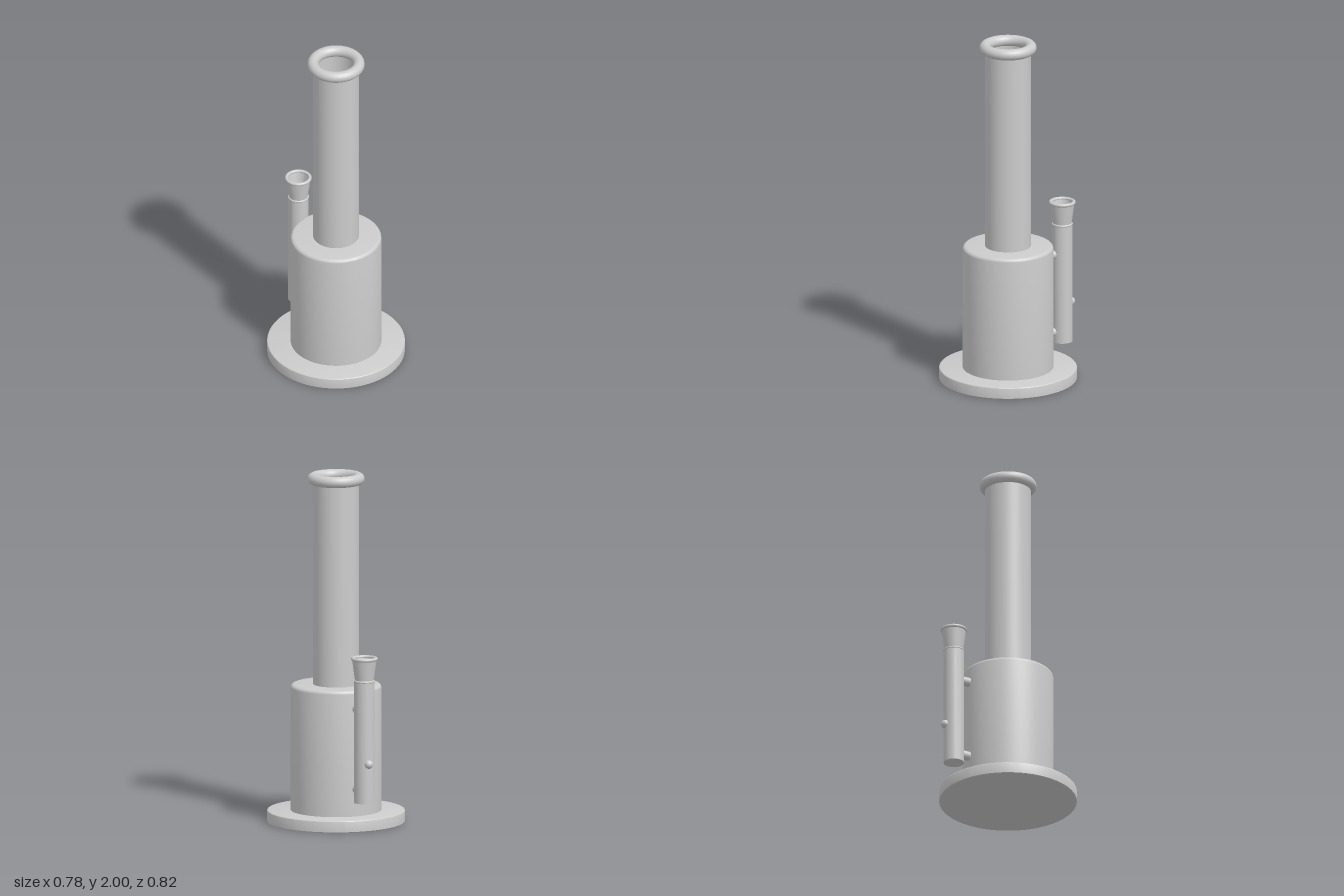
import * as THREE from 'three';
import { toCreasedNormals } from 'three/addons/utils/BufferGeometryUtils.js';

const material = new THREE.MeshStandardMaterial({ color: 0xcccccc });

// Closed profile [radius, height] spun around y, with sharp edges kept
function lathe(name, profile, z, segments = 64) {
  const points = profile.map(([r, y]) => new THREE.Vector2(r, y));
  const geometry = toCreasedNormals(new THREE.LatheGeometry(points, segments), 0.6);
  const mesh = new THREE.Mesh(geometry, material);
  mesh.name = name;
  mesh.position.z = z;
  return mesh;
}

function ring(name, radius, tube, y, z) {
  const mesh = new THREE.Mesh(new THREE.TorusGeometry(radius, tube, 20, 64), material);
  mesh.name = name;
  mesh.rotation.x = Math.PI / 2;
  mesh.position.set(0, y, z);
  return mesh;
}

// Quarter-round outer top edge of a profile
function roundEdge(radius, y, bevel, steps = 5) {
  return Array.from({ length: steps + 1 }, (_, i) => {
    const a = (i / steps) * Math.PI / 2;
    return [radius - bevel + Math.cos(a) * bevel, y - bevel + Math.sin(a) * bevel];
  });
}

export function createModel() {
  const group = new THREE.Group();
  group.name = 'waterPipe';
  const mainZ = 0.022, stemZ = -0.332;

  // Foot, chamber and long hollow neck
  group.add(lathe('base', [[0, 0], [0.386, 0], [0.39, 0.004], ...roundEdge(0.39, 0.068, 0.005, 3), [0, 0.068]], mainZ, 96));
  group.add(lathe('chamber', [[0, 0.06], [0.257, 0.06], ...roundEdge(0.257, 0.79, 0.02), [0, 0.79]], mainZ));
  group.add(lathe('neck', [[0.13, 0.78], [0.13, 1.968], [0.112, 1.968], [0.112, 0.78]], mainZ));
  group.add(ring('mouthpiece', 0.13, 0.032, 1.968, mainZ));

  // Side stem standing behind the chamber
  group.add(lathe('stem', [[0, 0.162], [0.058, 0.162], [0.058, 0.86], [0, 0.86]], stemZ, 40));
  group.add(ring('stemCollar', 0.053, 0.007, 0.86, stemZ));

  // Flared bowl with a conical hollow
  group.add(lathe('bowl', [[0, 0.86], [0.053, 0.86], [0.07, 0.988], [0.058, 0.988], [0.036, 0.885], [0, 0.885]], stemZ, 40));
  group.add(ring('bowlRim', 0.066, 0.01, 0.988, stemZ));

  // Short struts joining stem and chamber
  for (const y of [0.225, 0.686]) {
    const strut = new THREE.Mesh(new THREE.CylinderGeometry(0.026, 0.026, 0.12, 24), material);
    strut.name = 'strut';
    strut.rotation.x = Math.PI / 2;
    strut.position.set(0, y, -0.26);
    group.add(strut);
  }

  // Small knob on the back of the stem
  const knob = new THREE.Mesh(new THREE.SphereGeometry(0.025, 24, 16), material);
  knob.name = 'knob';
  knob.position.set(0, 0.39, -0.387);
  group.add(knob);

  return group;
}
